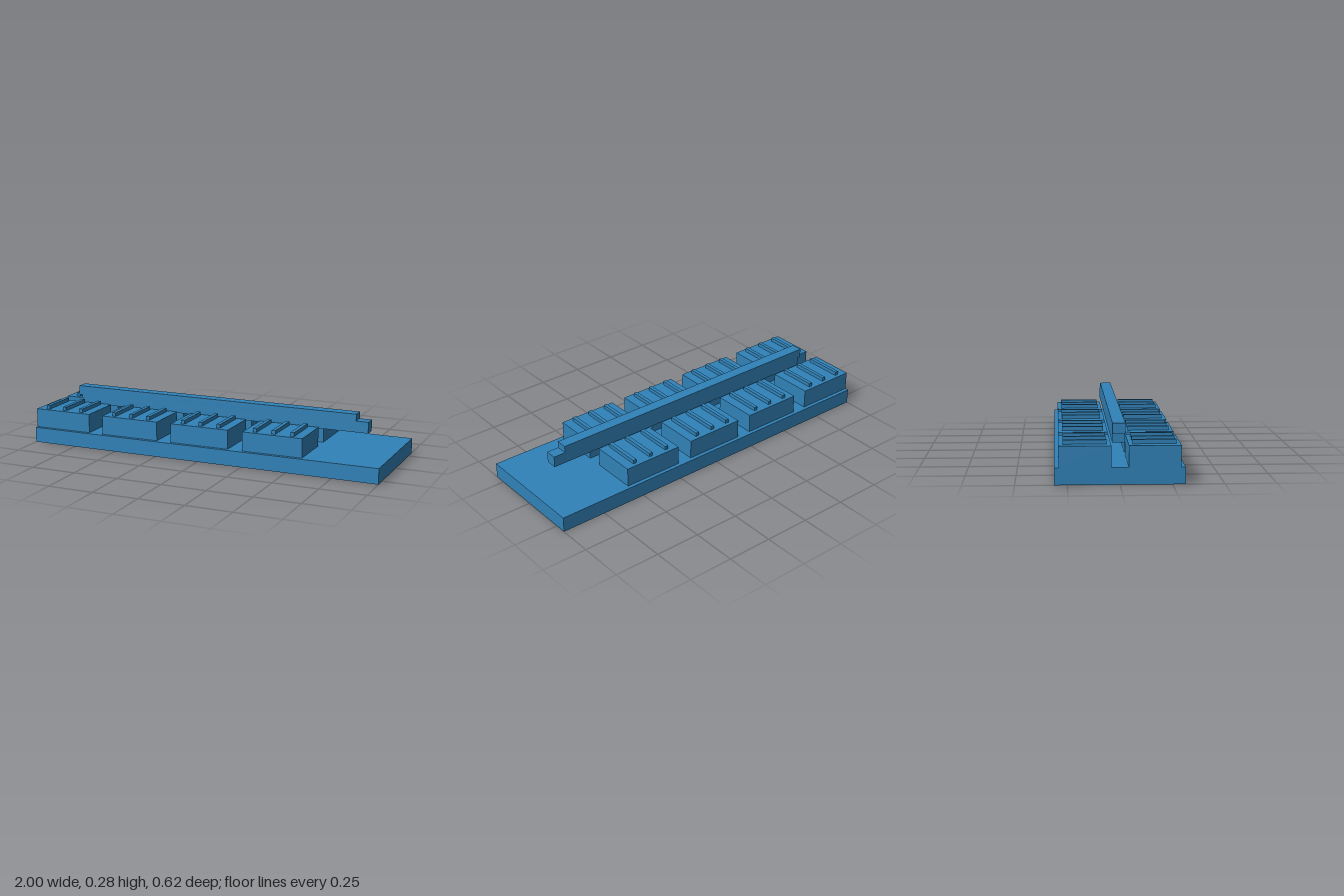
import * as THREE from 'three';

export function createModel() {
  const model = new THREE.Group();
  const material = new THREE.MeshStandardMaterial({ color: 0x3182b8, flatShading: true });

  // Box given by its lower and upper limits on each axis
  function box(name, [x0, x1], [y0, y1], [z0, z1], parent) {
    const geometry = new THREE.BoxGeometry(x1 - x0, y1 - y0, z1 - z0);
    const mesh = new THREE.Mesh(geometry, material);
    mesh.position.set((x0 + x1) / 2, (y0 + y1) / 2, (z0 + z1) / 2);
    mesh.name = name;
    parent.add(mesh);
  }

  // Base slab
  box('base', [-1, 1], [0, 0.0835], [-0.3125, 0.3125], model);

  // Two rows of four blocks, each with three raised ribs
  for (const side of [-1, 1]) {
    for (let i = 0; i < 4; i++) {
      const unit = new THREE.Group();
      unit.name = `${side > 0 ? 'front' : 'back'}Block${i + 1}`;
      const x = -1 + i * 0.4167;
      const span = (a, b) => (side > 0 ? [a, b] : [-b, -a]);
      box('blockBody', [x, x + 0.3333], [0.0835, 0.1875], span(0.042, 0.292), unit);
      for (let r = 0; r < 3; r++) {
        const c = x + 0.0625 + r * 0.104;
        box('rib', [c - 0.0104, c + 0.0104], [0.1875, 0.208], span(0.0625, 0.271), unit);
      }
      model.add(unit);
    }
  }

  // Central beam with a lip overhanging one end and a step at the other
  const profile = new THREE.Shape([
    [-0.855, 0.179], [0.854, 0.179], [0.854, 0.24], [0.787, 0.24],
    [0.787, 0.277], [-0.875, 0.277], [-0.875, 0.226], [-0.855, 0.226],
  ].map(([x, y]) => new THREE.Vector2(x, y)));
  const beam = new THREE.Mesh(
    new THREE.ExtrudeGeometry(profile, { depth: 0.0625, bevelEnabled: false }), material);
  beam.position.z = -0.03125;
  beam.name = 'centralBeam';
  model.add(beam);

  return model;
}
